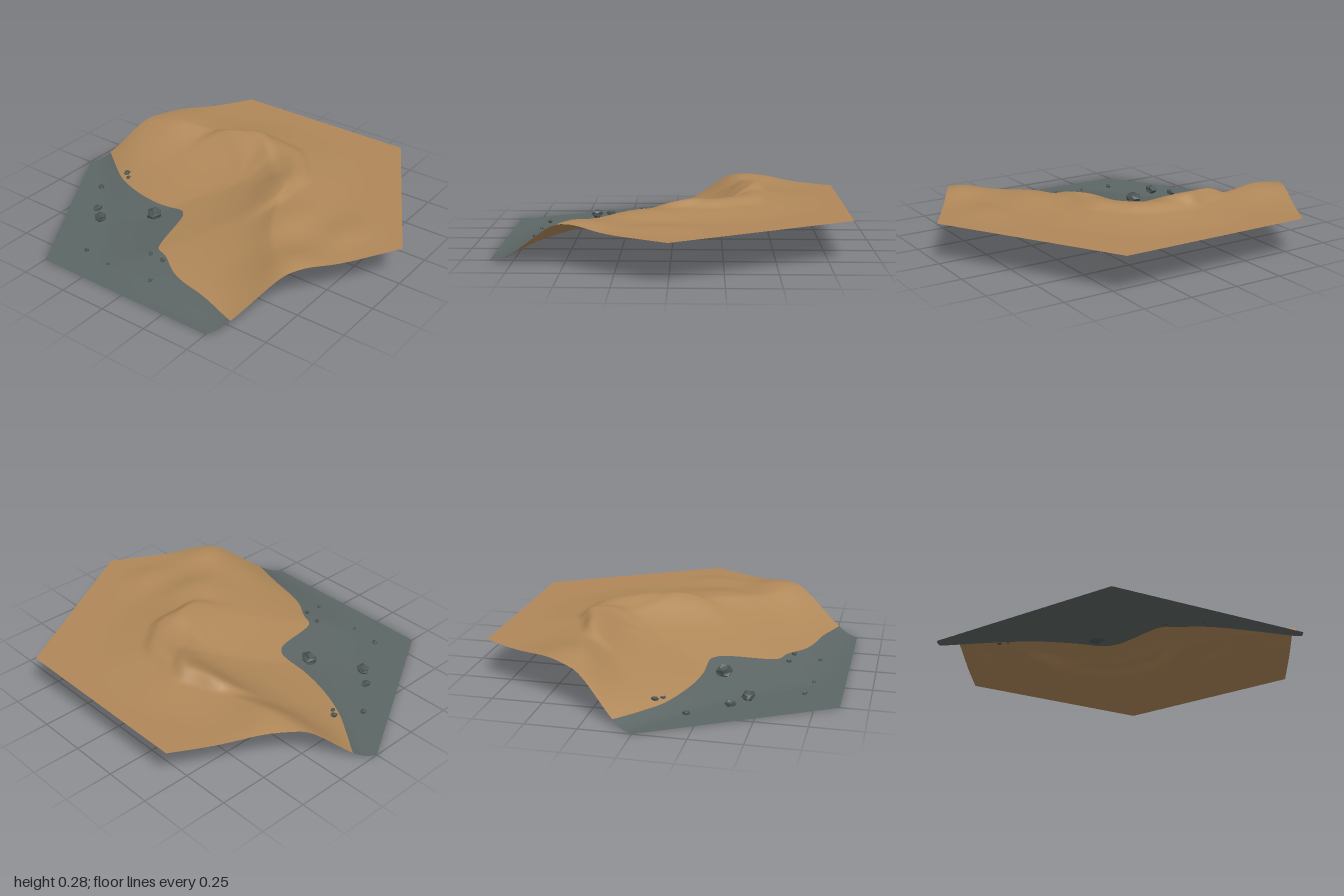
import * as THREE from 'three';

const dirt = new THREE.MeshStandardMaterial({ color: 0xb08859, side: THREE.DoubleSide });
dirt.name = 'dirt';
const stone = new THREE.MeshStandardMaterial({ color: 0x5c6664, side: THREE.DoubleSide });
stone.name = 'stoneGround';
const rock = new THREE.MeshStandardMaterial({ color: 0x4b5453, flatShading: true });
rock.name = 'rock';

const smooth = THREE.MathUtils.smoothstep;
const lerp = THREE.MathUtils.lerp;
const halfWidth = (z) => Math.min(Math.sqrt(3) / 2, (1 - Math.abs(z)) * Math.sqrt(3));
const line = (points) => new THREE.SplineCurve(points.map(([x, z]) => new THREE.Vector2(x, z))).getPoints(60);

// Lines across the tile from back to front (x, z): colour border, foot and top of the slope
const border = line([
  [0.2, -1.08], [0.104, -0.94], [0, -0.8], [-0.08, -0.68], [-0.145, -0.52], [-0.182, -0.35], [-0.185, -0.2],
  [-0.21, -0.155], [-0.27, -0.125], [-0.45, -0.09], [-0.52, -0.06], [-0.55, 0.01], [-0.62, 0.11],
  [-0.66, 0.21], [-0.695, 0.36], [-0.76, 0.56], [-0.84, 0.8],
]);
const foot = line([
  [0.08, -1.1], [0.02, -0.99], [-0.11, -0.82], [-0.26, -0.65], [-0.41, -0.48], [-0.58, -0.36],
  [-0.76, -0.22], [-0.83, 0], [-0.85, 0.25], [-0.866, 0.5], [-0.95, 0.65],
]);
const top = line([
  [0.42, -0.95], [0.34, -0.804], [0.36, -0.55], [0.41, -0.3], [0.42, -0.1], [0.37, 0.1],
  [0.24, 0.22], [0.04, 0.29], [-0.18, 0.38], [-0.37, 0.52], [-0.5, 0.711], [-0.58, 0.86],
]);

function lineX(pts, z) {
  for (let i = 1; i < pts.length; i++) {
    const a = pts[i - 1], b = pts[i];
    if (z <= b.y) return lerp(a.x, b.x, (z - a.y) / (b.y - a.y));
  }
  return pts[pts.length - 1].x;
}

// Distance to a line, positive on its +x side
function lineDistance(pts, x, z) {
  let best = 9;
  for (let i = 1; i < pts.length; i++) {
    const a = pts[i - 1], b = pts[i];
    const dx = b.x - a.x, dz = b.y - a.y;
    const t = THREE.MathUtils.clamp(((x - a.x) * dx + (z - a.y) * dz) / (dx * dx + dz * dz), 0, 1);
    best = Math.min(best, Math.hypot(x - a.x - t * dx, z - a.y - t * dz));
  }
  return x > lineX(pts, z) ? best : -best;
}

const rimDistance = (x, z) => Math.min(0.866 - Math.abs(x), (1 - Math.abs(z)) * 0.866 - Math.abs(x) / 2);

// 0 at the foot of the slope, 1 at its top: S-shaped at the rim, a straighter ramp inside
function slope(x, z) {
  const up = Math.max(lineDistance(foot, x, z), 0);
  const left = Math.max(-lineDistance(top, x, z), 0);
  const t = up / (up + left);
  return lerp(smooth(t, 0, 1), t ** 1.2, smooth(rimDistance(x, z), 0, 0.35));
}

const bump = (x, z, cx, cz, rx, rz) => Math.exp(-(((x - cx) / rx) ** 2) - ((z - cz) / rz) ** 2);

function height(x, z) {
  const base = slope(x, z);
  // Crescent lip with a steep outer drop
  const px = x - 0.12, pz = z + 0.05;
  const angle = Math.atan2(pz, px), turn = Math.abs(angle - 0.62);
  const dist = Math.hypot(px, pz) + 0.006 * Math.sin(angle * 9) - 0.07 * smooth(turn, 1, 2);
  const reach = 1 - smooth(turn, 1.25, 2.1);
  const lip = reach * smooth(dist, 0.05, 0.32) * (1 - smooth(dist, 0.33, 0.4));
  // Inner step running diagonally across the crescent
  const across = (px - 0.14) * 0.74 + (pz - 0.13) * 0.67 + 0.01 * Math.sin(14 * z);
  const step = (1 - smooth(across, -0.02, 0.05)) * smooth(x, -0.05, 0.3);
  // Gentle apron and humps, flattening to a level rim
  const apron = 0.036 * (1 - smooth(dist, 0.25, 0.66)) * lerp(0.5, 1, smooth(x, -0.3, 0.15));
  const humps = 0.026 * bump(x, z, -0.14, 0.45, 0.18, 0.12) + 0.014 * bump(x, z, -0.05, 0.72, 0.14, 0.1);
  const shoulders = 0.036 * bump(x, z, 0.4, -0.65, 0.18, 0.16) + 0.033 * bump(x, z, -0.41, 0.68, 0.14, 0.13);
  const relief = apron + humps + lip * (0.022 + 0.026 * step);
  return 0.2 * base + smooth(base, 0.5, 1) * (relief * smooth(rimDistance(x, z), 0, 0.18) + shoulders);
}

// Hexagonal tile in rows, each row split at the colour border
function tileGeometry() {
  const rows = 200, stoneCols = 24, dirtCols = 70, cols = stoneCols + dirtCols;
  const pos = [], stoneFaces = [], dirtFaces = [];
  for (let j = 0; j <= rows; j++) {
    const z = -1 + (2 * j) / rows, w = halfWidth(z);
    const split = THREE.MathUtils.clamp(lineX(border, z), -w, w);
    for (let i = 0; i <= cols; i++) {
      const x = i <= stoneCols ? lerp(-w, split, i / stoneCols) : lerp(split, w, (i - stoneCols) / dirtCols);
      pos.push(x, height(x, z), z);
    }
  }
  const addFace = (list, a, b, c) => {
    const ux = pos[b * 3] - pos[a * 3], uz = pos[b * 3 + 2] - pos[a * 3 + 2];
    const vx = pos[c * 3] - pos[a * 3], vz = pos[c * 3 + 2] - pos[a * 3 + 2];
    if (Math.abs(ux * vz - uz * vx) > 1e-9) list.push(a, b, c);
  };
  for (let j = 0; j < rows; j++) {
    for (let i = 0; i < cols; i++) {
      const a = j * (cols + 1) + i, c = a + cols + 1;
      const list = i < stoneCols ? stoneFaces : dirtFaces;
      addFace(list, a, c, a + 1);
      addFace(list, a + 1, c, c + 1);
    }
  }
  const geo = new THREE.BufferGeometry();
  geo.setAttribute('position', new THREE.Float32BufferAttribute(pos, 3));
  geo.setIndex([...stoneFaces, ...dirtFaces]);
  geo.addGroup(0, stoneFaces.length, 0);
  geo.addGroup(stoneFaces.length, dirtFaces.length, 1);
  geo.computeVertexNormals();
  return geo;
}

// Irregular faceted stone
function rockGeometry(seed) {
  const geo = new THREE.DodecahedronGeometry(1, 0);
  const p = geo.attributes.position, v = new THREE.Vector3();
  for (let i = 0; i < p.count; i++) {
    v.fromBufferAttribute(p, i);
    const k = 1 + 0.16 * Math.sin(v.x * 5 + seed * 2.1) * Math.cos(v.z * 4 + v.y * 3 + seed);
    p.setXYZ(i, v.x * k, v.y * k, v.z * k);
  }
  geo.computeVertexNormals();
  return geo;
}

export function createModel() {
  const group = new THREE.Group();
  const tile = new THREE.Mesh(tileGeometry(), [stone, dirt]);
  tile.name = 'terrainTile';
  group.add(tile);

  // Scattered rocks: x, z, half width, half depth
  [
    [-0.28, -0.29, 0.041, 0.045], [-0.44, -0.52, 0.032, 0.035], [-0.37, -0.605, 0.029, 0.02],
    [-0.19, -0.745, 0.02, 0.015], [-0.03, -0.695, 0.021, 0.015], [-0.06, -0.66, 0.015, 0.01],
    [-0.69, -0.385, 0.013, 0.015], [-0.715, -0.22, 0.01, 0.008], [-0.57, -0.07, 0.015, 0.012],
    [-0.585, 0.02, 0.014, 0.014], [-0.715, 0.05, 0.012, 0.01],
  ].forEach(([x, z, w, d], i) => {
    const mesh = new THREE.Mesh(rockGeometry(i + 1), rock);
    mesh.name = 'rock' + (i + 1);
    const tall = Math.min(w, d) * 0.8;
    mesh.scale.set(w, tall, d);
    mesh.position.set(x, Math.max(height(x, z) + tall * 0.5, tall * 1.1), z);
    group.add(mesh);
  });
  return group;
}
